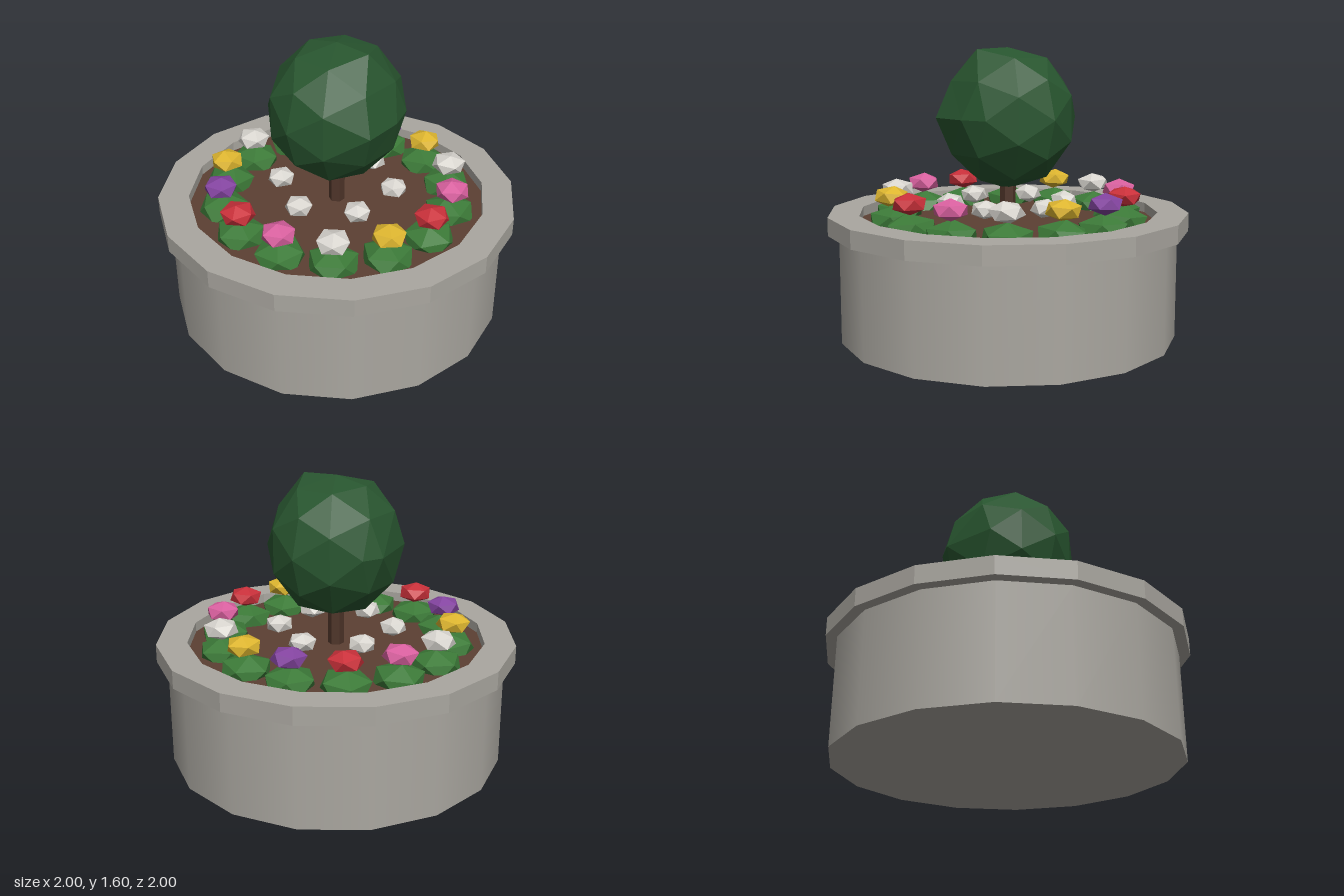
import * as THREE from 'three';

const mat = (name, color) => {
  const m = new THREE.MeshStandardMaterial({ color });
  m.name = name;
  return m;
};

// Small seeded generator, returns -1..1
let seed = 7;
const rand = () => {
  seed = (seed * 16807) % 2147483647;
  return (seed / 2147483647) * 2 - 1;
};

function flat(geometry) {
  const g = geometry.index ? geometry.toNonIndexed() : geometry;
  g.computeVertexNormals();
  return g;
}

// Squashed icosahedron with a corner pointing up, slightly tilted
function clump(radius, squash) {
  const g = new THREE.IcosahedronGeometry(radius, 0);
  g.rotateZ(Math.atan(2 / (1 + Math.sqrt(5))));
  g.rotateY(rand() * Math.PI);
  g.rotateX(rand() * 0.2);
  g.rotateZ(rand() * 0.2);
  g.scale(1, squash, 1);
  return flat(g);
}

// Faceted tree crown, narrowed in x, with a few corners pulled out
function crownGeometry() {
  const r = 0.4;
  const g = new THREE.IcosahedronGeometry(r, 1);
  const p = g.attributes.position;
  const pulls = [
    [[0.526, 0.851, 0], [0.21, 0.37, 0]],
    [[0.851, 0, 0.526], [0.365, 0, 0.17]],
    [[1, 0, 0], [0.36, 0, -0.06]],
    [[-1, 0, 0], [-0.365, 0, -0.1]],
    [[-0.809, -0.309, -0.5], [-0.33, -0.16, -0.2]],
    [[0, 1, 0], [0, 0.38, 0]],
  ].map(([dir, to]) => [new THREE.Vector3(...dir).multiplyScalar(r), to]);
  const v = new THREE.Vector3();
  for (let i = 0; i < p.count; i++) {
    v.fromBufferAttribute(p, i);
    const pull = pulls.find(([from]) => from.distanceTo(v) < 0.02);
    if (pull) p.setXYZ(i, ...pull[1]);
    else p.setX(i, v.x * 0.91);
  }
  return flat(g);
}

export function createModel() {
  const model = new THREE.Group();
  model.name = 'planter';

  const concrete = mat('concrete', 0xaaa7a0);
  const soil = mat('soil', 0x5c4033);
  const bark = mat('bark', 0x4f3529);
  const crownGreen = mat('crownGreen', 0x28552f);
  const leafGreen = mat('leafGreen', 0x3c7a38);
  const red = mat('red', 0xc9303a);
  const pink = mat('pink', 0xd9609f);
  const white = mat('white', 0xd8d5cf);
  const yellow = mat('yellow', 0xddb52f);
  const purple = mat('purple', 0x8444a0);

  const add = (name, geometry, material, x = 0, y = 0, z = 0, parent = model) => {
    const mesh = new THREE.Mesh(geometry, material);
    mesh.name = name;
    mesh.position.set(x, y, z);
    parent.add(mesh);
    return mesh;
  };

  // Round tub and its overhanging rim
  add('tub', new THREE.CylinderGeometry(0.94, 0.94, 0.6, 16), concrete, 0, 0.3, 0);
  const rimProfile = [[0.83, 0.6], [1, 0.6], [1, 0.7], [0.83, 0.7], [0.83, 0.6]]
    .map(([x, y]) => new THREE.Vector2(x, y));
  add('rim', flat(new THREE.LatheGeometry(rimProfile, 16)), concrete);
  add('soilBed', new THREE.CircleGeometry(0.83, 16).rotateX(-Math.PI / 2), soil, 0, 0.645, 0);

  // Small tree
  add('trunk', flat(new THREE.CylinderGeometry(0.045, 0.045, 0.32, 6)), bark, 0, 0.8, 0);
  add('crown', crownGeometry(), crownGreen, 0, 1.22, 0);

  // Outer ring of leafy plants, each with one blossom
  const outer = new THREE.Group();
  outer.name = 'outerFlowers';
  model.add(outer);
  const petals = [red, pink, white, yellow, purple];
  for (let i = 0; i < 14; i++) {
    const a = (-i / 14) * Math.PI * 2;
    const c = Math.cos(a), s = Math.sin(a);
    add('leaves', clump(0.148, 0.58), leafGreen, c * 0.64, 0.66, s * 0.64, outer);
    add('blossom', clump(0.1, 0.58), petals[i % 5], c * 0.65, 0.796, s * 0.65, outer);
  }

  // Inner ring of white blossoms round the trunk
  const inner = new THREE.Group();
  inner.name = 'innerFlowers';
  model.add(inner);
  for (let i = 0; i < 6; i++) {
    const a = (i / 6) * Math.PI * 2;
    add('whiteBlossom', clump(0.082, 0.65), white, Math.sin(a) * 0.32, 0.748, Math.cos(a) * 0.32, inner);
  }

  return model;
}
